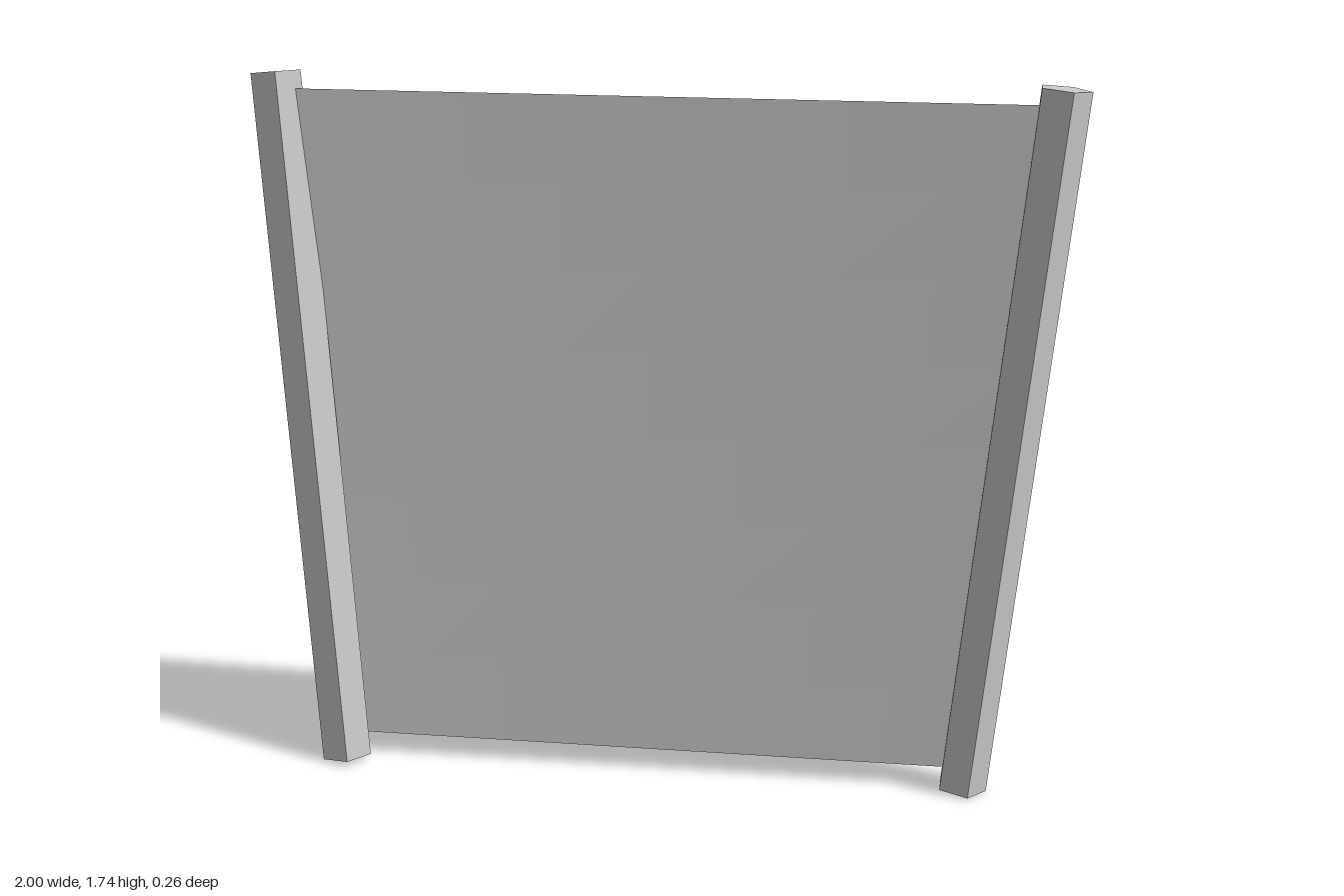
import * as THREE from 'three';

const material = new THREE.MeshStandardMaterial({ color: 0xcccccc, flatShading: true, side: THREE.DoubleSide });

// Five-sided post running from a bottom to a top point, one ridge facing +x
function makePost(name, bottom, top) {
  const axis = top.clone().sub(bottom);
  const geometry = new THREE.CylinderGeometry(0.063, 0.063, axis.length(), 5, 1, false, Math.PI / 2);
  const post = new THREE.Mesh(geometry, material);
  post.name = name;
  post.position.copy(bottom).add(top).multiplyScalar(0.5);
  post.quaternion.setFromUnitVectors(new THREE.Vector3(0, 1, 0), axis.normalize());
  return post;
}

// Thin sheet stretched between four corners, slightly twisted
function makePanel(topLeft, topRight, bottomLeft, bottomRight) {
  const geometry = new THREE.PlaneGeometry(1, 1, 8, 8);
  const position = geometry.attributes.position;
  const a = new THREE.Vector3(), b = new THREE.Vector3();
  for (let i = 0; i < position.count; i++) {
    const u = position.getX(i) + 0.5;
    const v = position.getY(i) + 0.5;
    a.lerpVectors(bottomLeft, bottomRight, u);
    b.lerpVectors(topLeft, topRight, u);
    a.lerp(b, v);
    position.setXYZ(i, a.x, a.y, a.z);
  }
  geometry.computeVertexNormals();
  const panel = new THREE.Mesh(geometry, material);
  panel.name = 'panel';
  return panel;
}

export function createModel() {
  const group = new THREE.Group();
  group.name = 'panelBetweenPosts';
  const v = (x, y, z) => new THREE.Vector3(x, y, z);

  // Leaning posts; the right one also leans backwards
  group.add(makePost('leftPost', v(0.77, 0.01, -0.016), v(0.935, 1.738, -0.016)));
  group.add(makePost('rightPost', v(-0.793, 0.012, 0.068), v(-0.947, 1.738, -0.072)));

  // Sheet with its side edges buried inside the posts
  group.add(makePanel(
    v(-0.94, 1.7, -0.053), v(0.92, 1.7, -0.019),
    v(-0.79, 0.06, 0.026), v(0.77, 0.06, -0.019),
  ));
  return group;
}
